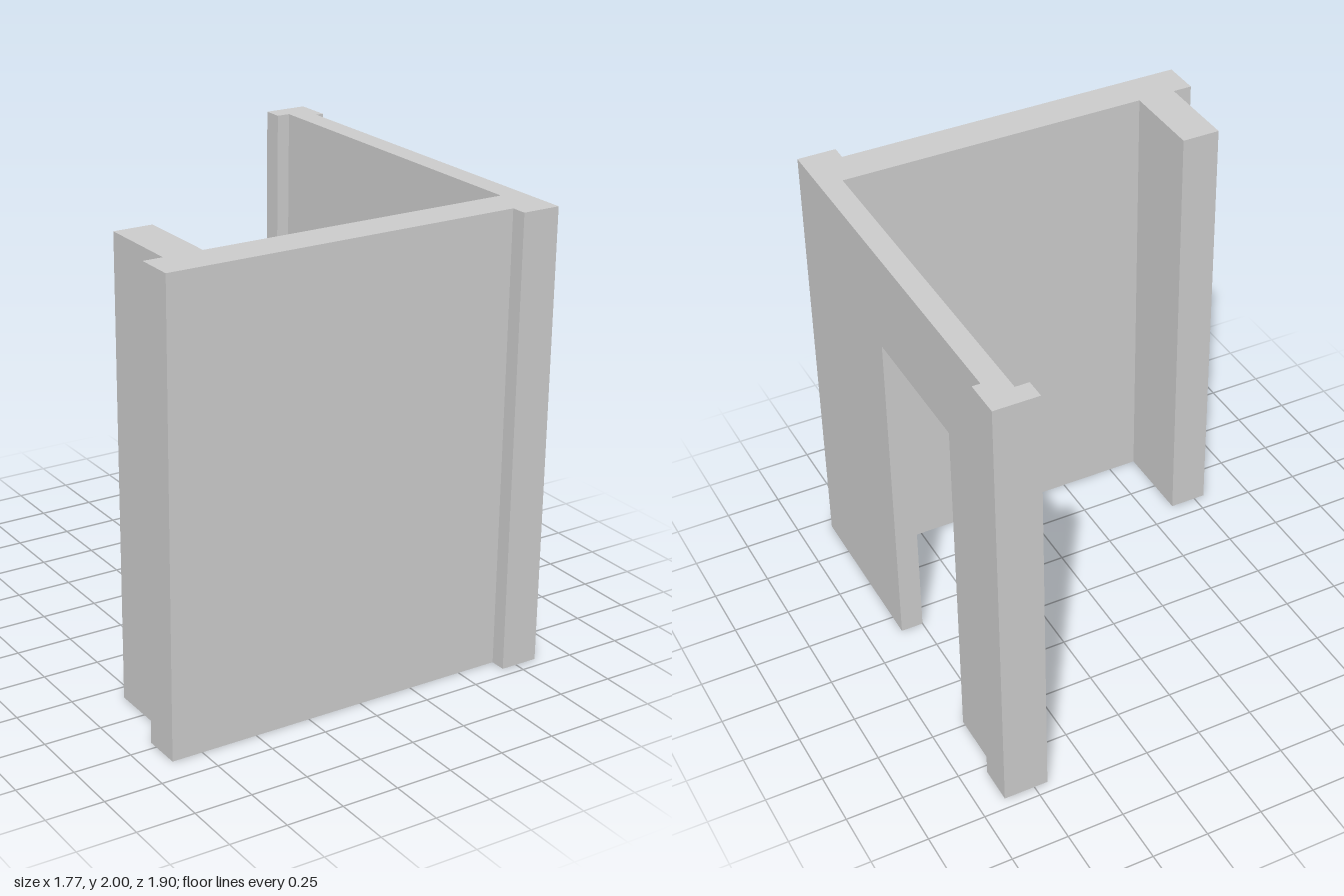
import * as THREE from 'three';

const material = new THREE.MeshStandardMaterial({ color: 0xcccccc, flatShading: true });

// Raises a floor-plan outline of [x, z] corners from y = bottom to y = top
function raisePlan(name, corners, bottom, top) {
  const shape = new THREE.Shape(corners.map(([x, z]) => new THREE.Vector2(x, -z)));
  const geometry = new THREE.ExtrudeGeometry(shape, { depth: top - bottom, bevelEnabled: false });
  geometry.rotateX(-Math.PI / 2);
  geometry.translate(0, bottom, 0);
  const mesh = new THREE.Mesh(geometry, material);
  mesh.name = name;
  return mesh;
}

export function createModel() {
  const model = new THREE.Group();
  model.name = 'roomCorner';

  const height = 2;
  const wallIn = 0.75, wallOut = 0.85;       // side wall faces in x
  const doorFront = 0.15, doorBack = -0.48;  // doorway sides in z
  const doorTop = 1.56;

  // Front wall with its return stub, corner pilaster and the side wall up to the doorway
  model.add(raisePlan('frontWall', [
    [-0.885, 0.88], [0.68, 0.88], [0.68, 0.95], [wallOut, 0.95],
    [wallOut, doorFront], [wallIn, doorFront], [wallIn, 0.71],
    [-0.63, 0.71], [-0.63, 0.33], [-0.80, 0.33], [-0.80, 0.71], [-0.885, 0.71],
  ], 0, height));

  // Side wall behind the doorway, ending in a stepped pier
  model.add(raisePlan('backPier', [
    [wallIn, doorBack], [wallOut, doorBack], [wallOut, -0.785], [0.885, -0.785],
    [0.885, -0.95], [0.69, -0.95], [0.69, -0.86], [wallIn, -0.86],
  ], 0, height));

  // Wall over the doorway
  model.add(raisePlan('doorwayLintel', [
    [wallIn, doorFront], [wallOut, doorFront], [wallOut, doorBack], [wallIn, doorBack],
  ], doorTop, height));

  return model;
}
